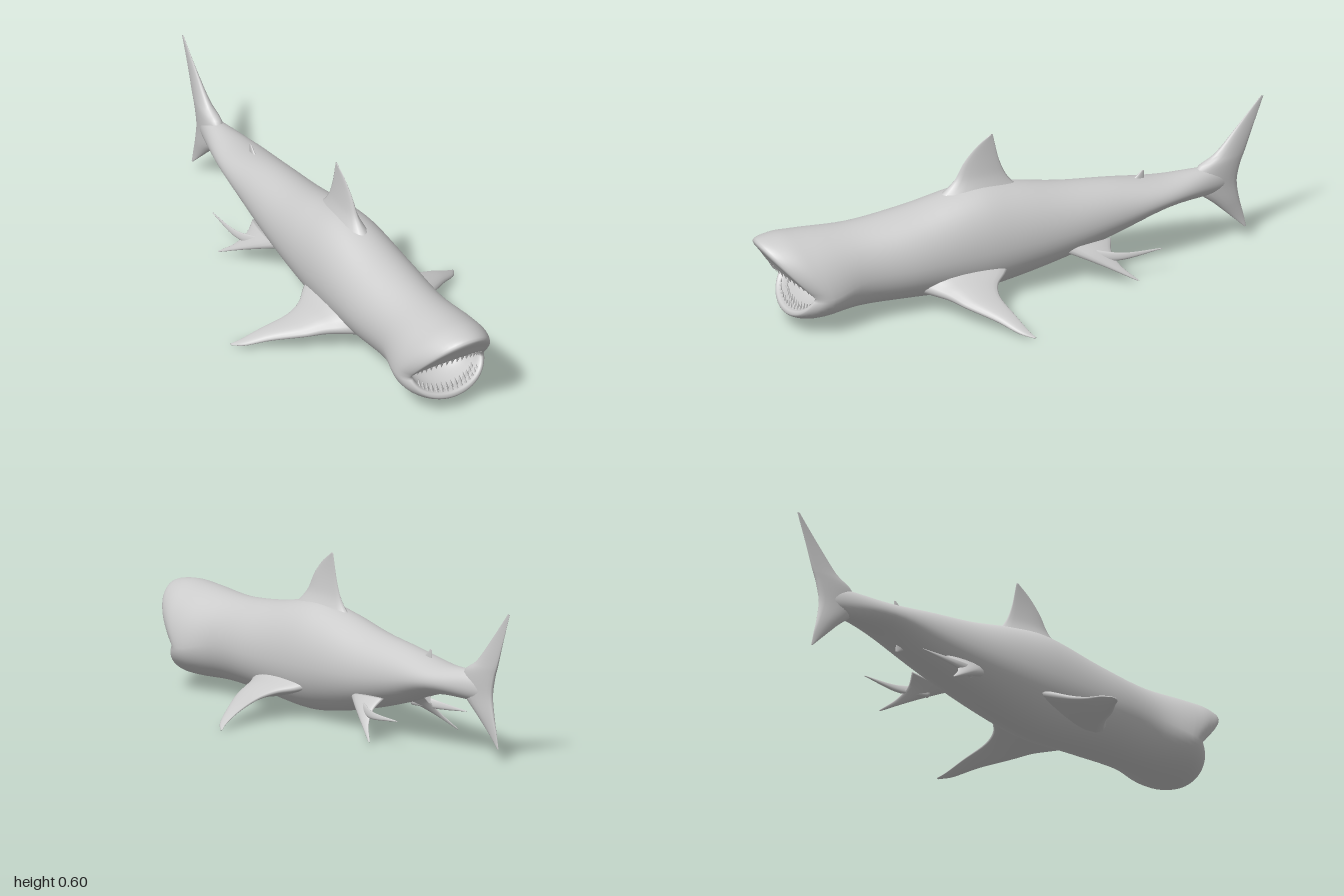
import * as THREE from 'three';
import { mergeGeometries } from 'three/addons/utils/BufferGeometryUtils.js';

const V = (x, y, z) => new THREE.Vector3(x, y, z);
const curve = points => new THREE.CatmullRomCurve3(points);
const material = new THREE.MeshStandardMaterial({ color: 0xcccccc });

// Skin a list of closed rings (equal point counts), capped at both ends, facing outward
function loft(rings) {
  const n = rings[0].length, end = (rings.length - 1) * n;
  const pts = rings.flat();
  const index = [];
  for (let i = 0; i < end; i += n) {
    for (let j = 0; j < n; j++) {
      const a = i + j, b = i + (j + 1) % n;
      index.push(a, b, b + n, a, b + n, a + n);
    }
  }
  for (let j = 1; j < n - 1; j++) {
    index.push(0, j + 1, j, end, end + j, end + j + 1);
  }
  // The sign of the volume tells whether the winding must be flipped
  let volume = 0;
  for (let k = 0; k < index.length; k += 3) {
    volume += pts[index[k]].dot(pts[index[k + 1]].clone().cross(pts[index[k + 2]]));
  }
  if (volume < 0) index.reverse();
  const geometry = new THREE.BufferGeometry().setFromPoints(pts);
  geometry.setIndex(index);
  geometry.computeVertexNormals();
  return geometry;
}

// Smooth fin through [leading, trailing] edge points; thickness(t) is its half thickness
function fin(edges, normal, thickness, side = 1) {
  const steps = 28, around = 18;
  const lead = curve(edges.map(e => e[0])), trail = curve(edges.map(e => e[1]));
  const rings = [];
  for (let i = 0; i <= steps; i++) {
    const t = i / steps, L = lead.getPoint(t), T = trail.getPoint(t);
    rings.push(Array.from({ length: around }, (_, j) => {
      const phi = (j / around) * Math.PI * 2, u = (1 - Math.cos(phi)) / 2;
      const bulge = thickness(t) * Math.sin(phi) * (1.2 - 0.6 * u);
      const p = L.clone().lerp(T, u).addScaledVector(normal, bulge);
      p.x *= side;
      return p;
    }));
  }
  return loft(rings);
}

// Ways to read a row of numbers as the two edges of a fin
const upright = ([y, lead, trail]) => [V(0, y, lead), V(0, y, trail)];
const spread = ([x, y, lead, trail]) => [V(x, y, lead), V(x, y + 0.1 * (lead - trail), trail)];
const rod = ([x, z, low, high]) => [V(x, low, z), V(x, high, z)];
const taper = (root, power) => t => 0.002 + root * (1 - t) ** power;

// Trunk sections from the tail forward: z, top, bottom, half width
const trunk = [
  [-0.89, 0.27, 0.22, 0.004],
  [-0.8, 0.305, 0.203, 0.036],
  [-0.6, 0.306, 0.195, 0.089],
  [-0.4, 0.335, 0.132, 0.11],
  [-0.2, 0.36, 0.078, 0.13],
  [0, 0.4, 0.036, 0.146],
  [0.15, 0.417, 0.018, 0.153],
  [0.4, 0.376, 0.036, 0.156],
  [0.62, 0.356, 0.045, 0.149],
];
// Head sections, over the lips and back into the throat:
// top z, top y, side z, half width, bottom z, bottom y
const head = [
  [0.82, 0.366, 0.76, 0.178, 0.78, 0.04],
  [0.93, 0.37, 0.8, 0.174, 0.85, 0.043],
  [0.998, 0.352, 0.828, 0.155, 0.89, 0.06],
  [0.968, 0.3, 0.83, 0.146, 0.888, 0.076],
  [0.928, 0.25, 0.82, 0.138, 0.872, 0.08],
  [0.89, 0.258, 0.785, 0.13, 0.84, 0.074],
  [0.8, 0.272, 0.73, 0.115, 0.76, 0.08],
  [0.63, 0.19, 0.63, 0.004, 0.63, 0.15],
];
const last = trunk.length + head.length - 1;
const rim = trunk.length + 4;

const topLine = curve([
  ...trunk.map(([z, top]) => V(0, top, z)),
  ...head.map(([z, y]) => V(0, y, z)),
]);
const sideLine = curve([
  ...trunk.map(([z, top, bottom, w]) => V(w, THREE.MathUtils.lerp(bottom, top, 0.47), z)),
  ...head.map(h => V(h[3], 0.16, h[2])),
]);
const bottomLine = curve([
  ...trunk.map(([z, , bottom]) => V(0, bottom, z)),
  ...head.map(h => V(0, h[5], h[4])),
]);

// Skin point at a section number and an angle around the body
function skinPoint(section, angle) {
  const t = section / last, s = Math.sin(angle);
  const side = sideLine.getPoint(t);
  const p = side.clone().lerp((s >= 0 ? topLine : bottomLine).getPoint(t), Math.abs(s));
  p.x = side.x * Math.cos(angle);
  return p;
}

// Row of pointed teeth along a jaw, up = 1 for the lower jaw and -1 for the upper
function teeth(section, margin, count, height, up) {
  const cones = [];
  for (let i = 0; i < count; i++) {
    const f = i / (count - 1);
    const angle = -up * THREE.MathUtils.degToRad(THREE.MathUtils.lerp(margin, 180 - margin, f));
    const h = height * (0.65 + 0.35 * Math.sin(Math.PI * f));
    const base = skinPoint(section, angle);
    const direction = V(-base.x * 0.8, up, -0.25).normalize();
    const cone = new THREE.ConeGeometry(h * 0.36, h * 1.3, 6);
    cone.translate(0, h * 0.4, 0);
    cone.applyQuaternion(new THREE.Quaternion().setFromUnitVectors(V(0, 1, 0), direction));
    cones.push(cone.translate(base.x, base.y, base.z));
  }
  return mergeGeometries(cones);
}

export function createModel() {
  const model = new THREE.Group();
  const add = (name, geometry) => {
    const mesh = new THREE.Mesh(geometry, material);
    mesh.name = name;
    model.add(mesh);
  };

  // Body, head and mouth cavity in one skin
  const around = 56, rings = [];
  for (let i = 0; i <= last * 5; i++) {
    rings.push(Array.from({ length: around }, (_, j) => skinPoint(i / 5, (j / around) * Math.PI * 2)));
  }
  add('body', loft(rings));

  // Teeth
  add('upperTeeth', teeth(rim, 18, 18, 0.022, -1));
  add('lowerFrontTeeth', teeth(rim, 30, 15, 0.02, 1));
  add('lowerBackTeeth', teeth(rim + 0.7, 33, 14, 0.03, 1));

  // Fins on the centre line
  const across = V(1, 0, 0);
  add('dorsalFin', fin([
    [0.37, 0.31, -0.05],
    [0.41, 0.255, -0.005],
    [0.45, 0.215, 0.022],
    [0.51, 0.18, 0.045],
    [0.565, 0.128, 0.058],
    [0.602, 0.075, 0.066],
  ].map(upright), across, taper(0.058, 2.5)));
  add('tailFin', fin([
    [0.045, -0.925, -0.932],
    [0.1, -0.868, -0.92],
    [0.16, -0.805, -0.905],
    [0.235, -0.725, -0.895],
    [0.305, -0.735, -0.91],
    [0.35, -0.805, -0.928],
    [0.44, -0.89, -0.96],
    [0.548, -0.988, -1],
  ].map(upright), across, t => 0.002 + 0.03 * Math.sin(Math.PI * t) ** 2));
  add('secondDorsalFin', fin([
    [0.3, -0.47, -0.53],
    [0.345, -0.52, -0.53],
  ].map(upright), across, taper(0.008, 1)));
  add('analFin', fin([
    [0.185, -0.44, -0.52],
    [0.146, -0.512, -0.522],
  ].map(upright), across, taper(0.008, 1)));

  // Paired fins
  for (const [name, side] of [['left', 1], ['right', -1]]) {
    add(name + 'PectoralFin', fin([
      [0.1, 0.1, 0.41, 0.04],
      [0.15, 0.09, 0.362, 0.085],
      [0.2, 0.085, 0.328, 0.135],
      [0.26, 0.073, 0.295, 0.155],
      [0.365, 0.045, 0.215, 0.14],
      [0.44, 0.014, 0.155, 0.12],
      [0.466, 0.002, 0.115, 0.105],
    ].map(spread), V(0.25, 0.97, 0), taper(0.048, 1.4), side));
    add(name + 'PelvicFin', fin([
      [0.09, 0.13, -0.17, -0.36],
      [0.125, 0.1, -0.24, -0.345],
      [0.16, 0.062, -0.32, -0.365],
      [0.198, 0.012, -0.415, -0.422],
    ].map(spread), V(0.85, 0.5, 0.17), taper(0.024, 1.2), side));
    add(name + 'Clasper', fin([
      [0.115, -0.26, 0.085, 0.135],
      [0.15, -0.37, 0.083, 0.112],
      [0.155, -0.53, 0.099, 0.102],
    ].map(rod), across, taper(0.011, 1), side));
  }
  return model;
}
